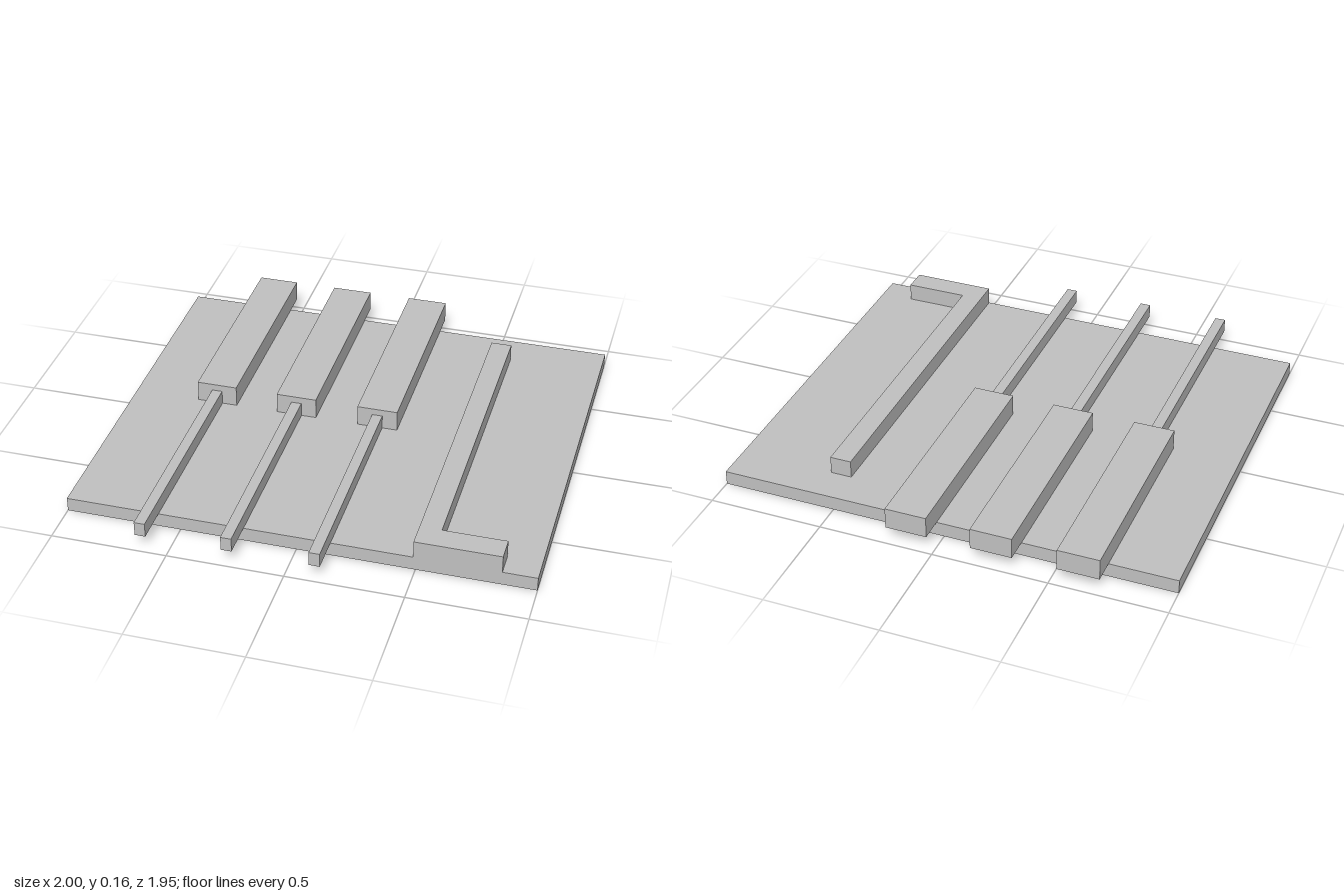
import * as THREE from 'three';

const grey = new THREE.MeshStandardMaterial({ color: 0xc0c0c0 });
grey.name = 'plain grey';

const BASE_TOP = 0.062;

// Box given by its limits on each axis
function slab(name, [x0, x1], [y0, y1], [z0, z1]) {
  const mesh = new THREE.Mesh(new THREE.BoxGeometry(x1 - x0, y1 - y0, z1 - z0), grey);
  mesh.position.set((x0 + x1) / 2, (y0 + y1) / 2, (z0 + z1) / 2);
  mesh.name = name;
  return mesh;
}

// Thick handle at the back with a thin shaft reaching past the front edge
function tool(x) {
  const group = new THREE.Group();
  group.name = 'tool';
  group.add(
    slab('handle', [-0.09, 0.09], [BASE_TOP, 0.155], [-0.977, -0.024]),
    slab('shaft', [-0.023, 0.023], [BASE_TOP, 0.125], [-0.024, 0.977]),
  );
  group.position.x = x;
  return group;
}

// L-shaped bar, drawn flat in plan and extruded upwards
function angleBar() {
  const plan = [[0.49, 0.715], [0.49, -0.82], [0.855, -0.82], [0.855, -0.715], [0.583, -0.715], [0.583, 0.715]];
  const shape = new THREE.Shape(plan.map(([x, y]) => new THREE.Vector2(x, y)));
  const geometry = new THREE.ExtrudeGeometry(shape, { depth: 0.14 - BASE_TOP, bevelEnabled: false });
  geometry.rotateX(-Math.PI / 2);
  const mesh = new THREE.Mesh(geometry, grey);
  mesh.position.y = BASE_TOP;
  mesh.name = 'angleBar';
  return mesh;
}

export function createModel() {
  const model = new THREE.Group();
  model.name = 'toolBoard';
  model.add(slab('board', [-1, 1], [0, BASE_TOP], [-0.872, 0.82]));
  for (const x of [-0.617, -0.248, 0.122]) model.add(tool(x));
  model.add(angleBar());
  return model;
}
